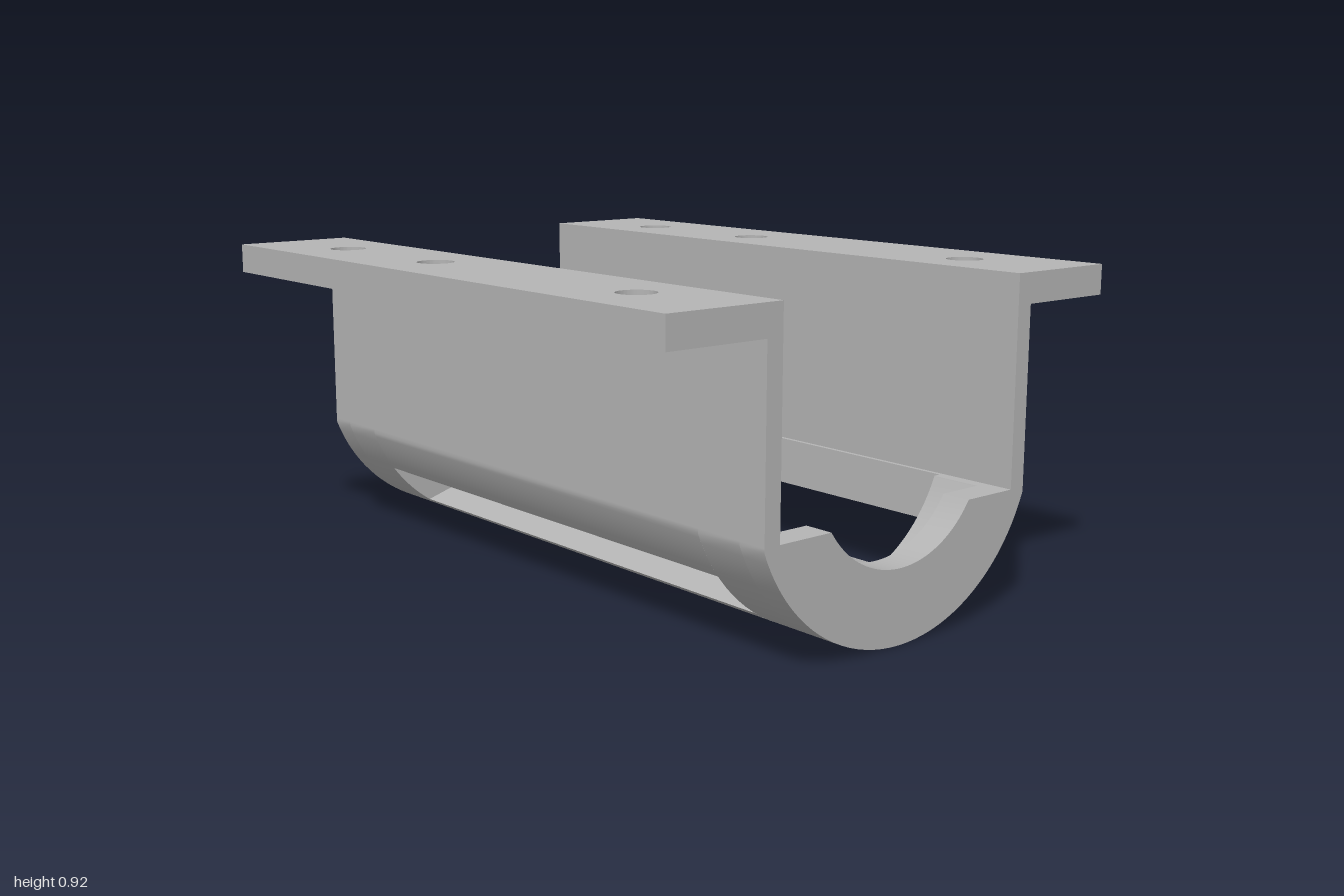
import * as THREE from 'three';
import { toCreasedNormals } from 'three/addons/utils/BufferGeometryUtils.js';

const CY = 0.508;                       // height of the trough axis
const R_OUT = 0.508, R_BORE = 0.425, R_END = 0.304;
const LEDGE = 0.34, WALL_IN = 0.425, WALL_OUT = 0.475, FLANGE_Z = 0.778;
const FLANGE_Y = 0.833, TOP = 0.917;
const SLOT_X = 0.765, BORE_X = 0.915;

// points [z, y] on a circle about the trough axis, from z0 to z1 along its lower half
function arc(r, z0, z1, n = 40) {
  const a0 = Math.asin(z0 / r), a1 = Math.asin(z1 / r);
  return Array.from({ length: n + 1 }, (_, i) => {
    const a = a0 + (a1 - a0) * i / n;
    return [r * Math.sin(a), CY - r * Math.cos(a)];
  });
}

// extrude a [z, y] cross-section along x between x0 and x1
function section(points, x0, x1) {
  const shape = new THREE.Shape(points.map(([z, y]) => new THREE.Vector2(z, y)));
  const geo = new THREE.ExtrudeGeometry(shape, { depth: x1 - x0, bevelEnabled: false });
  geo.rotateY(-Math.PI / 2);
  geo.translate(x1, 0, 0);
  return toCreasedNormals(geo, 0.5);
}

// half-round trough section with the given inner radius
function trough(rIn) {
  const zi = Math.sqrt(rIn ** 2 - (CY - LEDGE) ** 2);
  return [...arc(R_OUT, -WALL_OUT, WALL_OUT), [WALL_OUT, LEDGE], ...arc(rIn, zi, -zi), [-WALL_OUT, LEDGE]];
}

export function createModel() {
  const model = new THREE.Group();
  model.name = 'slottedCradleBracket';
  const grey = new THREE.MeshStandardMaterial({ color: 0xb4b4b4 });
  grey.name = 'grey metal';
  const add = (name, geo) => {
    const mesh = new THREE.Mesh(geo, grey);
    mesh.name = name;
    model.add(mesh);
    return mesh;
  };

  // end lips with the narrow bore, then the wide bore up to the slots
  for (const s of [-1, 1]) {
    const side = s > 0 ? 'left' : 'right';
    const span = (a, b) => (s > 0 ? [a, b] : [-b, -a]);
    add(side + 'EndLip', section(trough(R_END), ...span(BORE_X, 1)));
    add(side + 'Trough', section(trough(R_BORE), ...span(SLOT_X, BORE_X)));
  }

  // floor strip between the slots
  add('troughFloor', section([...arc(R_OUT, -0.28, 0.28), ...arc(R_BORE, 0.17, -0.17)], -SLOT_X, SLOT_X));

  for (const s of [1, -1]) {
    const side = s > 0 ? 'front' : 'back';

    // rail above each slot
    const rail = [...arc(R_OUT, 0.408, WALL_OUT, 10), [WALL_OUT, LEDGE], [0.412, LEDGE]];
    const points = rail.map(([z, y]) => [z * s, y]);
    add(side + 'SlotRail', section(points, -SLOT_X, SLOT_X));

    // upright wall
    const wall = new THREE.BoxGeometry(2, FLANGE_Y - LEDGE, WALL_OUT - WALL_IN);
    wall.translate(0, (FLANGE_Y + LEDGE) / 2, s * (WALL_IN + WALL_OUT) / 2);
    add(side + 'Wall', wall);

    // flange with three bolt holes
    const d = (FLANGE_Z - WALL_IN) / 2;
    const plate = new THREE.Shape([[-1, -d], [1, -d], [1, d], [-1, d]].map(p => new THREE.Vector2(...p)));
    for (const x of [-0.68, -0.2, 0.675]) {
      const hole = new THREE.Path();
      hole.absarc(x, s * ((WALL_IN + FLANGE_Z) / 2 - 0.593), 0.052, 0, Math.PI * 2, true);
      plate.holes.push(hole);
    }
    const flange = new THREE.ExtrudeGeometry(plate, { depth: TOP - FLANGE_Y, bevelEnabled: false, curveSegments: 32 });
    flange.rotateX(-Math.PI / 2);
    flange.translate(0, FLANGE_Y, s * (WALL_IN + FLANGE_Z) / 2);
    add(side + 'Flange', toCreasedNormals(flange, 0.5));
  }
  return model;
}
